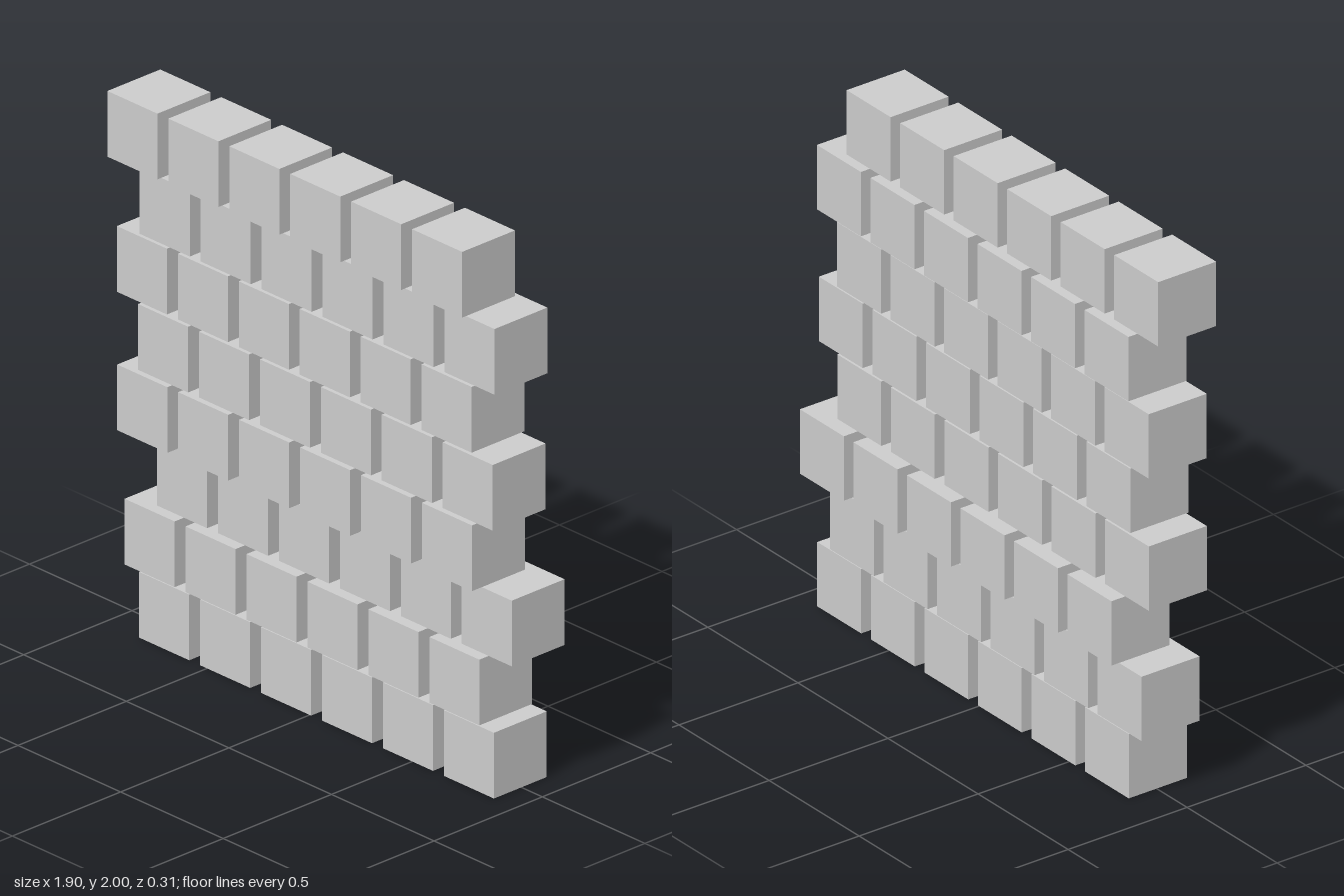
import * as THREE from 'three';

const SIZE = 0.244;   // cube edge
const PITCH = 0.297;  // spacing along a row
const COLUMNS = 6;

// Each row, bottom to top: left edge x, base y, front face z
const ROWS = [
  [-0.831, 0.002, 0.127],
  [-0.902, 0.249, 0.127],
  [-0.783, 0.497, 0.090],
  [-0.921, 0.746, 0.143],
  [-0.825, 1.002, 0.138],
  [-0.931, 1.254, 0.135],
  [-0.825, 1.504, 0.130],
  [-0.952, 1.756, 0.159],
];

export function createModel() {
  const wall = new THREE.Group();
  wall.name = 'blockWall';
  const material = new THREE.MeshStandardMaterial({ color: 0xcccccc, flatShading: true });
  const cube = new THREE.BoxGeometry(SIZE, SIZE, SIZE);

  // Stacked rows of loose cubes, each row slightly shifted
  ROWS.forEach(([left, base, front], r) => {
    const row = new THREE.Group();
    row.name = `row${r + 1}`;
    row.position.set(left + SIZE / 2, base + SIZE / 2, front - SIZE / 2);
    for (let c = 0; c < COLUMNS; c++) {
      const block = new THREE.Mesh(cube, material);
      block.name = `block${c + 1}`;
      block.position.x = c * PITCH;
      row.add(block);
    }
    wall.add(row);
  });
  return wall;
}
